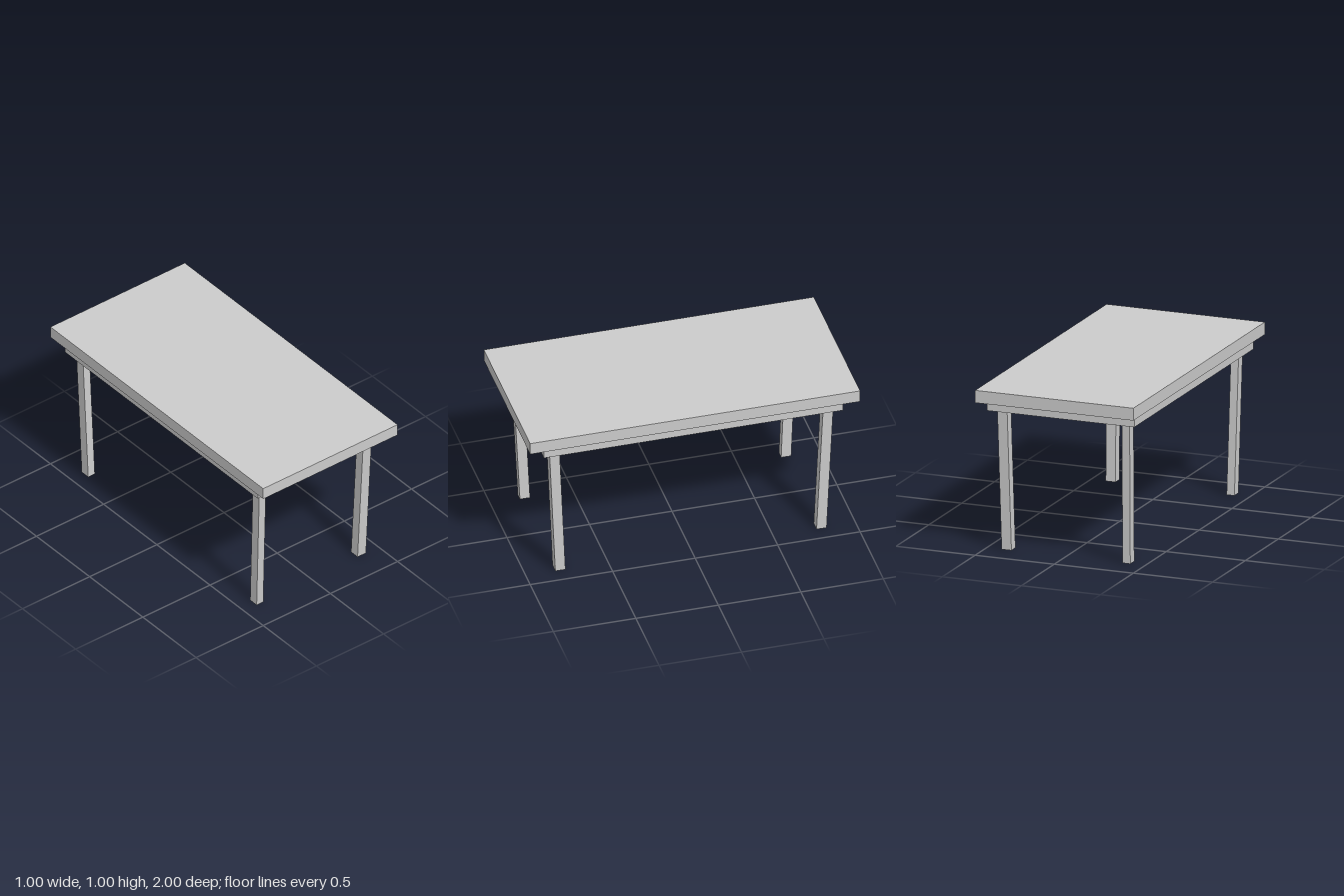
import * as THREE from 'three';

const material = new THREE.MeshStandardMaterial({ color: 0xcccccc, flatShading: true });

// Box given by its extents on each axis
function box(name, [x0, x1], [y0, y1], [z0, z1]) {
  const geometry = new THREE.BoxGeometry(x1 - x0, y1 - y0, z1 - z0);
  geometry.translate((x0 + x1) / 2, (y0 + y1) / 2, (z0 + z1) / 2);
  const mesh = new THREE.Mesh(geometry, material);
  mesh.name = name;
  return mesh;
}

// Upright leg whose foot is shifted inwards, with level ends
function leg(name, xs, ys, zs, footX, footZ) {
  const mesh = box(name, xs, ys, zs);
  const p = mesh.geometry.attributes.position;
  for (let i = 0; i < p.count; i++) {
    const t = (ys[1] - p.getY(i)) / (ys[1] - ys[0]);
    p.setX(i, p.getX(i) + footX * t);
    p.setZ(i, p.getZ(i) + footZ * t);
  }
  mesh.geometry.computeVertexNormals();
  return mesh;
}

export function createModel() {
  const table = new THREE.Group();
  table.name = 'table';

  // Slab top and the solid apron beneath it
  table.add(box('tableTop', [-0.5, 0.5], [0.925, 1], [-1, 1]));
  table.add(box('apron', [-0.467, 0.465], [0.857, 0.925], [-0.907, 0.907]));

  // Four legs leaning inwards; the left pair is slightly wider
  const sides = [
    { side: 'Left', xs: [0.356, 0.418], lean: -0.012 },
    { side: 'Right', xs: [-0.418, -0.369], lean: 0.011 },
  ];
  for (const { side, xs, lean } of sides) {
    table.add(leg(`front${side}Leg`, xs, [0, 0.857], [0.799, 0.86], lean, -0.039));
    table.add(leg(`back${side}Leg`, xs, [0, 0.857], [-0.86, -0.799], lean, 0.037));
  }
  return table;
}
